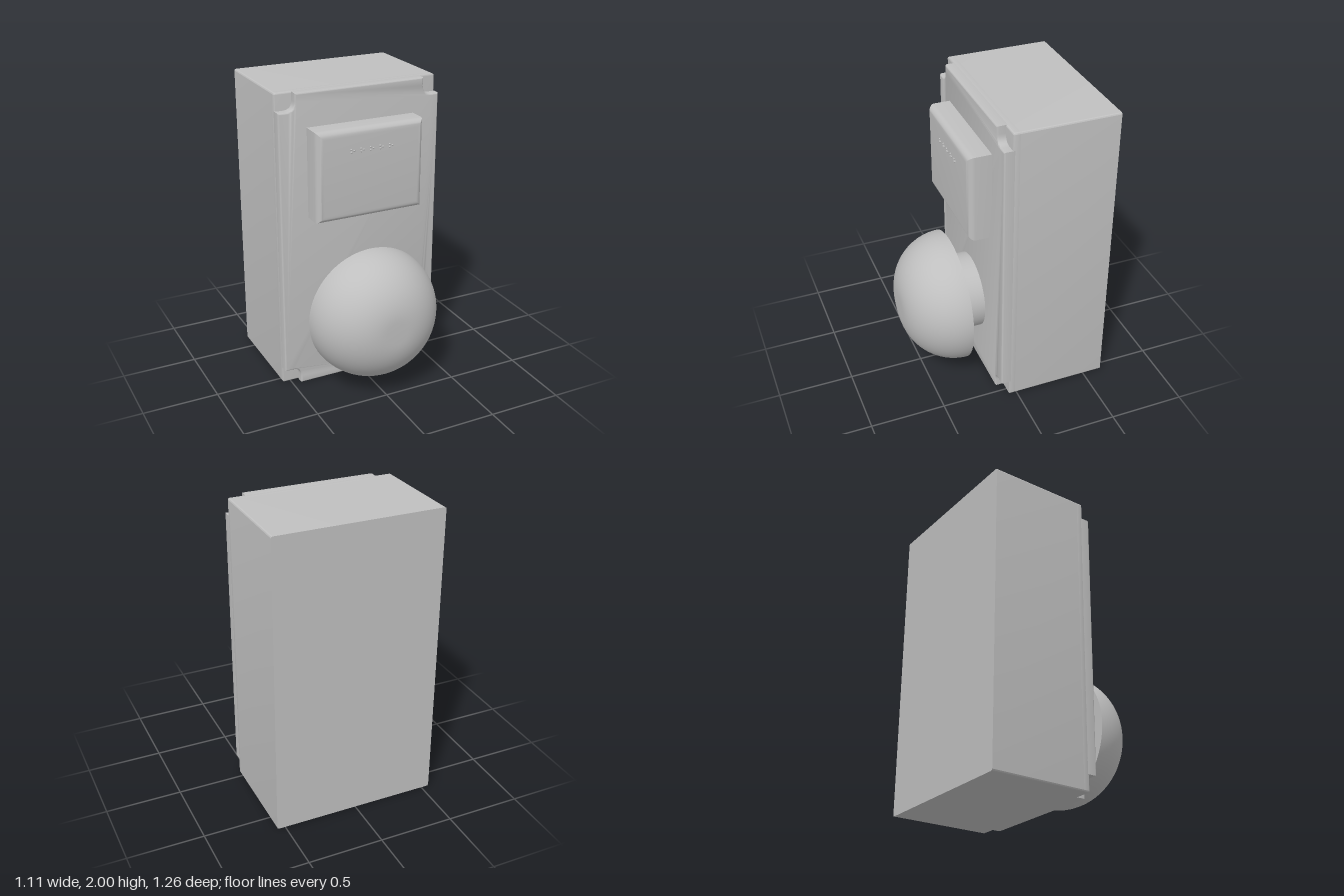
import * as THREE from 'three';
import { toCreasedNormals } from 'three/addons/utils/BufferGeometryUtils.js';

// Rectangle centred on the origin, with rounded corners when r > 0
function rectShape(w, h, r = 0) {
  const s = new THREE.Shape();
  const x = w / 2, y = h / 2;
  if (r === 0) {
    return s.moveTo(-x, -y).lineTo(x, -y).lineTo(x, y).lineTo(-x, y).closePath();
  }
  s.absarc(x - r, y - r, r, 0, Math.PI / 2);
  s.absarc(-x + r, y - r, r, Math.PI / 2, Math.PI);
  s.absarc(-x + r, -y + r, r, Math.PI, Math.PI * 1.5);
  s.absarc(x - r, -y + r, r, Math.PI * 1.5, Math.PI * 2);
  s.closePath();
  return s;
}

// Rectangle with a square bite out of each corner; the inner corner of each bite is rounded
function notchedShape(w, h, n, r) {
  const s = new THREE.Shape();
  const x = w / 2, y = h / 2, a = x - n, b = y - n;
  s.moveTo(x, -b).lineTo(x, b);
  s.lineTo(a + r, b).quadraticCurveTo(a, b, a, b + r).lineTo(a, y);
  s.lineTo(-a, y).lineTo(-a, b + r).quadraticCurveTo(-a, b, -a - r, b).lineTo(-x, b);
  s.lineTo(-x, -b).lineTo(-a - r, -b).quadraticCurveTo(-a, -b, -a, -b - r).lineTo(-a, -y);
  s.lineTo(a, -y).lineTo(a, -b - r).quadraticCurveTo(a, -b, a + r, -b).closePath();
  return s;
}

// Extrude from z0 to z1 with rounded rims of radius bevel, staying inside the outline
function slab(shape, z0, z1, bevel = 0, segments = 4) {
  const g = new THREE.ExtrudeGeometry(shape, {
    depth: z1 - z0 - 2 * bevel,
    bevelEnabled: bevel > 0,
    bevelThickness: bevel,
    bevelSize: bevel,
    bevelOffset: -bevel,
    bevelSegments: segments,
    curveSegments: 8,
  });
  g.translate(0, 0, z0 + bevel);
  return toCreasedNormals(g, 0.6);
}

export function createModel() {
  const model = new THREE.Group();
  model.name = 'wallButtonBox';
  const grey = new THREE.MeshStandardMaterial({ color: 0xbfbfbf });
  grey.name = 'grey';

  const add = (name, geometry, x = 0, y = 0, z = 0, parent = model) => {
    const mesh = new THREE.Mesh(geometry, grey);
    mesh.name = name;
    mesh.position.set(x, y, z);
    parent.add(mesh);
    return mesh;
  };

  // Housing: square-edged back, soft front rim, and a front plate with notched corners
  const W = 1.108, H = 2, R = 0.012;
  add('housingBack', slab(rectShape(W, H, R), -0.63, 0.012), 0, 1, 0);
  add('housingRim', slab(rectShape(W, H, R), 0, 0.055, R - 0.001), 0, 1, 0);
  add('frontPlate', slab(notchedShape(W, H, 0.112, 0.06), 0.032, 0.11, R - 0.001), 0, 1, 0);

  // Raised panel with rounded front edges
  add('panel', slab(rectShape(0.738, 0.588), 0.06, 0.26, 0.045, 8), 0, 1.485, 0);

  // Clusters of small tactile bumps on the panel
  const bumps = new THREE.Group();
  bumps.name = 'tactileBumps';
  model.add(bumps);
  const bump = new THREE.SphereGeometry(0.007, 10, 8);
  for (let i = 0; i < 5; i++) {
    const cx = -0.13 + i * 0.066;
    for (const [dx, dy] of [[-0.01, 0.009], [-0.01, -0.009], [0.01, 0]]) {
      add('bump', bump, cx + dx, 1.64 + dy, 0.259, bumps);
    }
  }

  // Push button: short stem and a domed cap with a small flat centre
  const stem = new THREE.CylinderGeometry(0.257, 0.257, 0.17, 64);
  stem.rotateX(Math.PI / 2);
  add('buttonStem', stem, 0, 0.522, 0.18);

  const profile = [new THREE.Vector2(0, 0), new THREE.Vector2(0.443, 0)];
  for (let i = 1; i <= 20; i++) {
    const t = (i / 20) * Math.PI / 2;
    profile.push(new THREE.Vector2(0.073 + 0.37 * Math.cos(t), 0.37 * Math.sin(t)));
  }
  profile.push(new THREE.Vector2(0, 0.37));
  const cap = new THREE.LatheGeometry(profile, 72);
  cap.rotateX(Math.PI / 2);
  add('buttonCap', toCreasedNormals(cap, 0.6), 0, 0.522, 0.26);

  return model;
}
